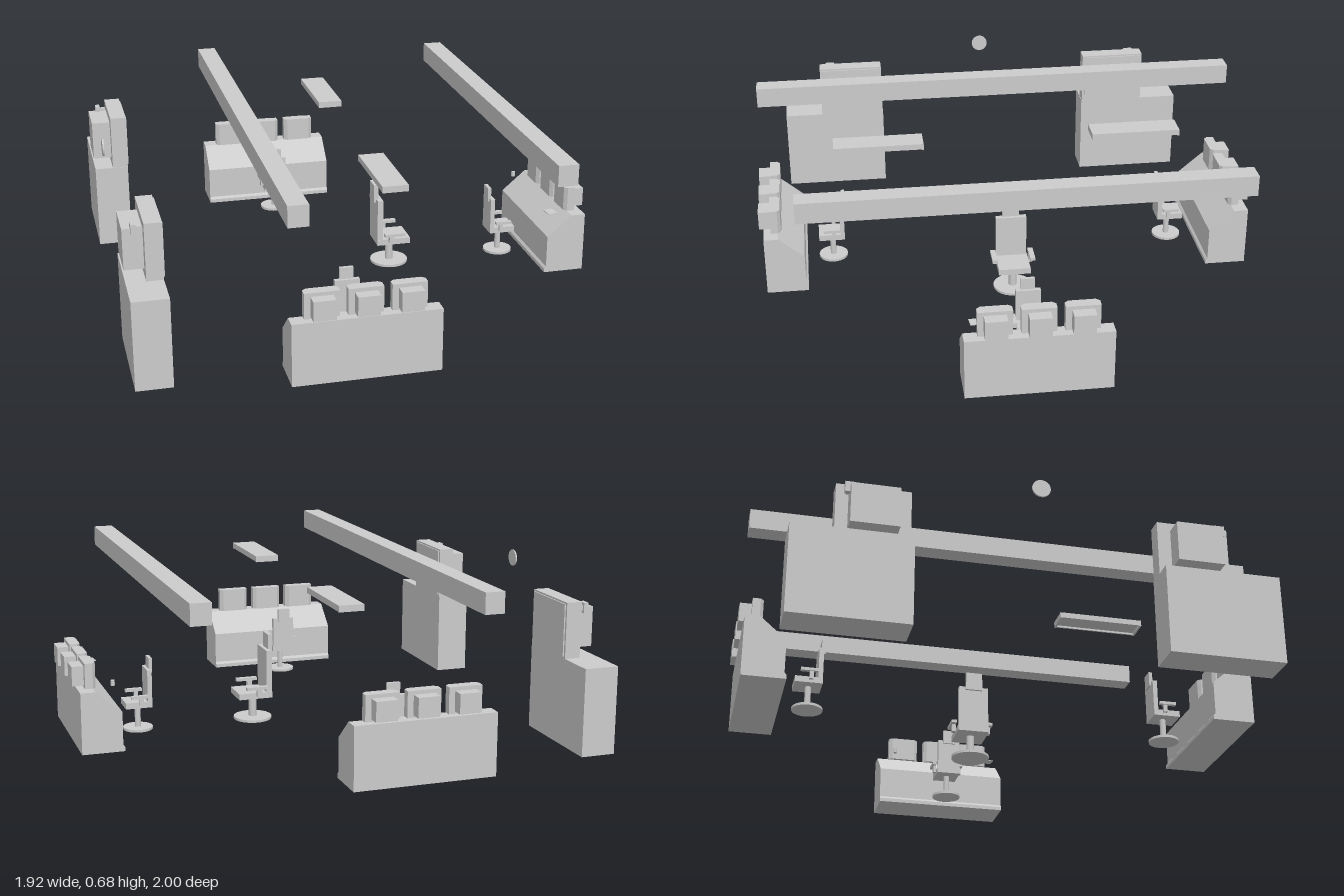
import * as THREE from 'three';

const grey = new THREE.MeshStandardMaterial({ color: 0xcccccc, flatShading: true });
const smooth = new THREE.MeshStandardMaterial({ color: 0xcccccc });

function add(parent, name, geometry, material = grey) {
  const mesh = new THREE.Mesh(geometry, material);
  mesh.name = name;
  parent.add(mesh);
  return mesh;
}

// Box given by its limits on each axis
function box(parent, name, x0, x1, y0, y1, z0, z1) {
  const mesh = add(parent, name, new THREE.BoxGeometry(x1 - x0, y1 - y0, z1 - z0));
  mesh.position.set((x0 + x1) / 2, (y0 + y1) / 2, (z0 + z1) / 2);
  return mesh;
}

function cylinder(parent, name, r, y0, y1, segments = 24) {
  const mesh = add(parent, name, new THREE.CylinderGeometry(r, r, y1 - y0, segments), smooth);
  mesh.position.y = (y0 + y1) / 2;
  return mesh;
}

function extrude(points, depth) {
  const shape = new THREE.Shape(points.map(p => new THREE.Vector2(...p)));
  return new THREE.ExtrudeGeometry(shape, { depth, bevelEnabled: false });
}

function group(parent, name, x = 0, z = 0, turn = 0) {
  const g = new THREE.Group();
  g.name = name;
  g.position.set(x, 0, z);
  g.rotation.y = turn;
  parent.add(g);
  return g;
}

// Monitor facing -x: chamfered screen housing and a smaller rear casing
function monitor(parent, z) {
  const g = group(parent, 'monitor', 0, z);
  const housing = extrude([
    [-0.085, -0.05], [-0.073, -0.064], [-0.043, -0.064],
    [-0.043, 0.064], [-0.073, 0.064], [-0.085, 0.05],
  ], 0.098);
  housing.rotateX(-Math.PI / 2);
  add(g, 'screenHousing', housing).position.y = 0.241;
  box(g, 'rearCasing', -0.043, 0.002, 0.25, 0.325, -0.041, 0.041);
}

// Console facing -x, its monitors' rear on local x = 0
function console_(parent, x, z, turn) {
  const g = group(parent, 'console', x, z, turn);
  const desk = extrude([
    [-0.015, 0], [-0.015, 0.24], [-0.073, 0.24], [-0.172, 0.155],
    [-0.172, 0.025], [-0.18, 0.015], [-0.18, 0],
  ], 0.546);
  desk.translate(0, 0, -0.273);
  add(g, 'desk', desk);
  for (const offset of [-0.158, 0, 0.158]) monitor(g, offset);
}

// Swivel chair facing +x around its pedestal; k widens it, top is the back height
function chair(parent, name, x, z, turn, k, top) {
  const g = group(parent, name, x, z, turn);
  const b = (part, x0, x1, y0, y1, z0, z1) =>
    box(g, part, x0 * k, x1 * k, y0, y1, z0 * k, z1 * k);
  const neck = 0.12 + (top - 0.12) * 0.74;
  cylinder(g, 'footDisc', 0.059 * k, 0, 0.01);
  cylinder(g, 'pedestal', 0.012 * k, 0.01, 0.096, 16);
  b('seat', -0.05, 0.056, 0.096, 0.12, -0.049, 0.049);
  b('backrest', -0.05, -0.032, 0.105, neck, -0.047, 0.047);
  b('headrest', -0.057, -0.043, neck - 0.015, top, -0.026, 0.026);
  for (const s of [-1, 1]) {
    const [z0, z1] = s > 0 ? [0.05, 0.066] : [-0.066, -0.05];
    b('armrest', -0.03, 0.036, 0.138, 0.15, z0, z1);
    b('armSupport', -0.014, 0.002, 0.108, 0.138, s * 0.055 - 0.006, s * 0.055 + 0.006);
  }
}

// Floor cabinet with an upright panel and a control box behind it
function cabinet(parent, side) {
  const g = group(parent, 'cabinet');
  const b = (part, x0, x1, y0, y1, z0, z1) =>
    box(g, part, x0, x1, y0, y1, ...(side > 0 ? [z0, z1] : [-z1, -z0]));
  b('cabinetBase', -0.96, -0.825, 0, 0.34, 0.453, 0.885);
  b('uprightPanel', -0.887, -0.825, 0.34, 0.557, 0.455, 0.725);
  b('panelFace', -0.827, -0.82, 0.347, 0.55, 0.465, 0.715);
  b('controlBox', -0.96, -0.887, 0.37, 0.525, 0.505, 0.68);
  b('handleStem', -0.915, -0.89, 0.515, 0.535, 0.67, 0.69);
  b('handleGrip', -0.93, -0.912, 0.505, 0.545, 0.66, 0.698);
}

export function createModel() {
  const root = new THREE.Group();
  root.name = 'controlRoom';

  // Overhead beams
  box(root, 'longBeam', -0.435, -0.36, 0.6, 0.68, -0.99, 0.985);
  box(root, 'shortBeam', 0.583, 0.66, 0.6, 0.68, -0.842, 0.838);

  // Three workstations with their chairs
  console_(root, 0.955, 0, 0);
  console_(root, -0.153, 0.997, -Math.PI / 2);
  console_(root, -0.153, -0.997, Math.PI / 2);
  chair(root, 'operatorChair', 0.667, 0, 0, 1, 0.29);
  chair(root, 'operatorChair', -0.153, 0.71, -Math.PI / 2, 1, 0.29);
  chair(root, 'operatorChair', -0.153, -0.71, Math.PI / 2, 1, 0.29);
  chair(root, 'mainChair', 0.192, 0, 0, 1.3, 0.35);

  for (const s of [-1, 1]) {
    cabinet(root, s);
    // Hanging ceiling panel with a lip at each end
    const panel = group(root, 'ceilingPanel', 0.023, s * 0.511);
    box(panel, 'panelPlate', -0.047, 0.047, 0.585, 0.6, -0.175, 0.175);
    for (const e of [-1, 1]) {
      box(panel, 'endLip', -0.049, 0.049, 0.575, 0.6, e * 0.172 - 0.004, e * 0.172 + 0.004);
      box(panel, 'sideLip', e * 0.046 - 0.003, e * 0.046 + 0.003, 0.577, 0.6, -0.17, 0.17);
    }
  }

  // Wall disc
  const disc = cylinder(root, 'wallDisc', 0.034, 0, 0.006, 32);
  disc.rotation.z = Math.PI / 2;
  disc.position.set(-0.957, 0.594, 0);

  // Small objects above the side desk
  const sheet = box(root, 'sheet', 0.793, 0.833, 0.239, 0.242, 0.19, 0.24);
  sheet.rotation.y = 0.1;
  const cup = cylinder(root, 'cup', 0.008, 0.243, 0.264, 12);
  cup.position.x = 0.804;
  cup.position.z = -0.207;

  return root;
}
